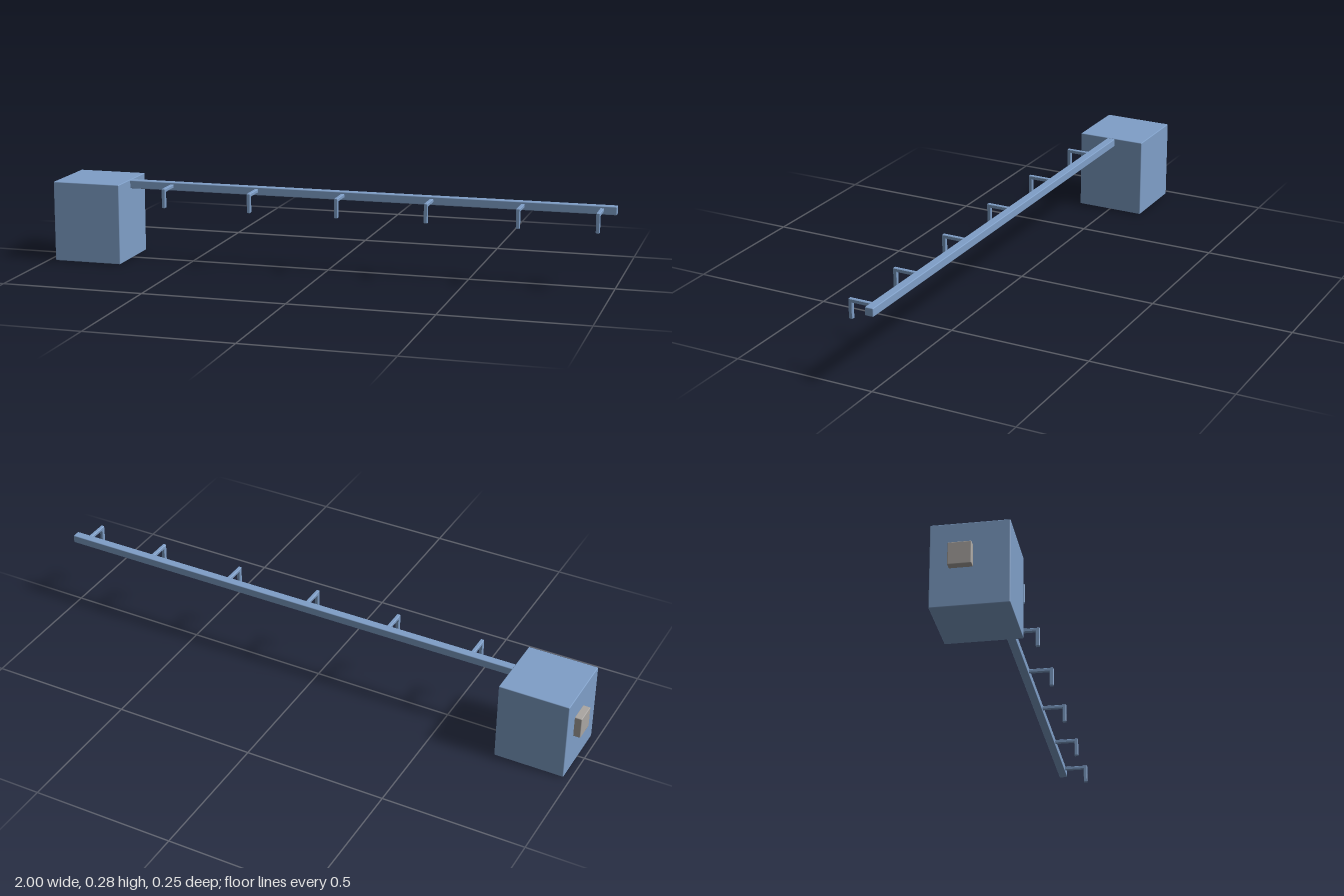
import * as THREE from 'three';
import { RoundedBoxGeometry } from 'three/addons/geometries/RoundedBoxGeometry.js';

export function createModel() {
  const model = new THREE.Group();
  model.name = 'hookRail';
  const blue = new THREE.MeshStandardMaterial({ color: 0x7f9fc8 });
  blue.name = 'steel blue';
  const gray = new THREE.MeshStandardMaterial({ color: 0xaaa6a2 });
  gray.name = 'warm gray';

  // softly edged block given by its lower and upper limits
  function block(parent, name, material, [x0, x1], [y0, y1], [z0, z1], radius) {
    const geometry = new RoundedBoxGeometry(x1 - x0, y1 - y0, z1 - z0, 2, radius);
    const mesh = new THREE.Mesh(geometry, material);
    mesh.position.set((x0 + x1) / 2, (y0 + y1) / 2, (z0 + z1) / 2);
    mesh.name = name;
    parent.add(mesh);
  }

  // housing, side plate and long rail
  block(model, 'housing', blue, [-0.975, -0.728], [0, 0.285], [-0.125, 0.125], 0.003);
  block(model, 'sidePlate', gray, [-1, -0.973], [0.13, 0.207], [-0.065, 0.01], 0.003);
  block(model, 'rail', blue, [-0.732, 1], [0.254, 0.283], [-0.014, 0.016], 0.003);

  // hooks: an L-shaped bar reaching forward, then down
  const profile = new THREE.Shape();
  [[0.012, 0.263], [0.089, 0.263], [0.089, 0.209], [0.091, 0.207], [0.101, 0.207],
    [0.103, 0.209], [0.103, 0.274], [0.101, 0.276], [0.012, 0.276]]
    .forEach(([z, y], i) => (i ? profile.lineTo(z, y) : profile.moveTo(z, y)));
  const hookGeometry = new THREE.ExtrudeGeometry(profile, {
    depth: 0.009, bevelThickness: 0.002, bevelSize: 0.002, bevelOffset: -0.002, bevelSegments: 1,
  });
  hookGeometry.translate(0, 0, -0.0045);
  hookGeometry.rotateY(-Math.PI / 2);
  for (const x of [-0.57, -0.257, 0.056, 0.37, 0.684, 0.95]) {
    const hook = new THREE.Mesh(hookGeometry, blue);
    hook.name = 'hook';
    hook.position.x = x;
    model.add(hook);
  }
  return model;
}
